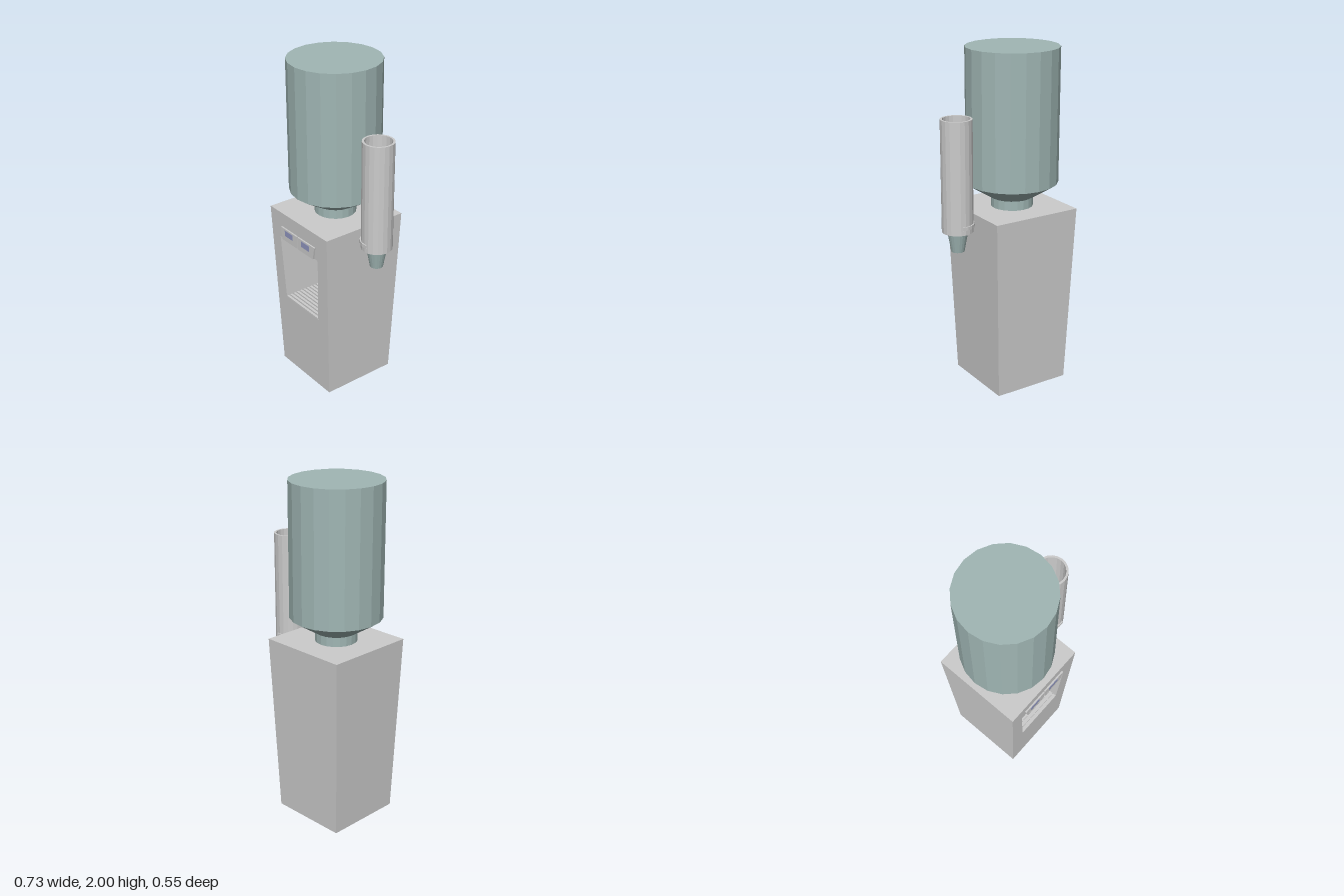
import * as THREE from 'three';

const mat = (color, extra = {}) => new THREE.MeshStandardMaterial({ color, flatShading: true, ...extra });

export function createModel() {
  const model = new THREE.Group();
  const grey = mat(0xcccccc);
  const greyOpen = mat(0xcccccc, { side: THREE.DoubleSide });
  const teal = mat(0xa0b6b4);
  const blue = mat(0x9096bf);

  const add = (name, geometry, material, x = 0, y = 0, z = 0) => {
    const mesh = new THREE.Mesh(geometry, material);
    mesh.name = name;
    mesh.position.set(x, y, z);
    model.add(mesh);
    return mesh;
  };

  // Four-sided faces, corners counter-clockwise as seen from outside
  const quads = (list) => {
    const pos = [];
    for (const [a, b, c, d] of list) pos.push(...a, ...b, ...c, ...a, ...c, ...d);
    const g = new THREE.BufferGeometry();
    g.setAttribute('position', new THREE.Float32BufferAttribute(pos, 3));
    g.computeVertexNormals();
    return g;
  };

  // Cabinet: tapered box, wider at the top
  const H = 1.08;
  const rect = (y, x0, x1, z0, z1) => [[x0, y, z1], [x1, y, z1], [x1, y, z0], [x0, y, z0]];
  const lo = rect(0, -0.33, 0.14, -0.235, 0.231);
  const hi = rect(H, -0.365, 0.178, -0.274, 0.268);
  const frontZ = (y) => 0.231 + (0.037 * y) / H;
  const walls = [1, 2, 3].map((i) => {
    const j = (i + 1) % 4;
    return [lo[i], lo[j], hi[j], hi[i]];
  });
  add('cabinet', quads([...walls, hi, [...lo].reverse()]), grey);

  // Cabinet front with the dispensing opening
  const opening = [[-0.255, 0.495], [0.062, 0.495], [0.09, 0.912], [-0.28, 0.912]];
  const v2 = (p) => new THREE.Vector2(p[0], p[1]);
  const frontShape = new THREE.Shape([lo[0], lo[1], hi[1], hi[0]].map(v2));
  frontShape.holes.push(new THREE.Path(opening.map(v2)));
  const front = new THREE.ShapeGeometry(frontShape);
  const fp = front.attributes.position;
  for (let i = 0; i < fp.count; i++) fp.setZ(i, frontZ(fp.getY(i)));
  front.computeVertexNormals();
  add('cabinetFront', front, grey);

  // Recess: four inner walls and a back
  const backZ = 0.01;
  const outer = opening.map(([x, y]) => [x, y, frontZ(y)]);
  const inner = opening.map(([x, y]) => [x, y, backZ]);
  const recess = outer.map((p, i) => {
    const j = (i + 1) % 4;
    return [p, outer[j], inner[j], inner[i]];
  });
  add('recess', quads([...recess, inner]), greyOpen);

  // Drip grille slats on the recess floor
  const slats = 10;
  for (let i = 0; i < slats; i++) {
    const z = backZ + 0.013 + (i * 0.22) / (slats - 1);
    add('gripGrilleSlat'.replace('grip', 'drip'), new THREE.BoxGeometry(0.312, 0.01, 0.013), grey, -0.0965, 0.5, z);
  }

  // Two tap panels, each with a coloured push button
  for (const side of [-1, 1]) {
    const cx = -0.0935 + side * 0.083;
    const panel = new THREE.BoxGeometry(0.16, 0.078, 0.02);
    const p = panel.attributes.position;
    for (let i = 0; i < p.count; i++) {
      // lower outer corner leans inward with the opening
      if (p.getY(i) < 0 && p.getX(i) * side > 0) p.setX(i, p.getX(i) - side * 0.015);
    }
    add('tapPanel', panel, grey, cx, 0.951, 0.264);
    add('tapButton', new THREE.BoxGeometry(0.075, 0.035, 0.006), blue, -0.0975 + side * 0.08, 0.963, 0.273);
  }

  // Water bottle: neck, shoulder and barrel
  const profile = [[0, 1.07], [0.122, 1.07], [0.122, 1.135], [0.267, 1.225], [0.267, 2], [0, 2]];
  add('waterBottle', new THREE.LatheGeometry(profile.map(v2), 20), teal, -0.098, 0, -0.006);

  // Cup holder tube, open at both ends
  const cx = 0.273, cz = -0.012;
  const tube = [[0.078, 0.99], [0.09, 0.99], [0.09, 1.637], [0.078, 1.637], [0.078, 0.99]];
  add('cupHolderTube', new THREE.LatheGeometry(tube.map(v2), 20), grey, cx, 0, cz);

  // Clip gripping the tube from the cabinet side
  const clip = [[0.088, 1.02], [0.097, 1.02], [0.097, 1.04], [0.088, 1.04], [0.088, 1.02]];
  add('tubeClip', new THREE.LatheGeometry(clip.map(v2), 11, Math.PI - 0.2, Math.PI + 0.4), greyOpen, cx, 0, cz);

  // Paper cup poking out of the tube
  add('cup', new THREE.CylinderGeometry(0.071, 0.038, 0.18, 20), teal, cx, 0.96, cz);

  return model;
}
